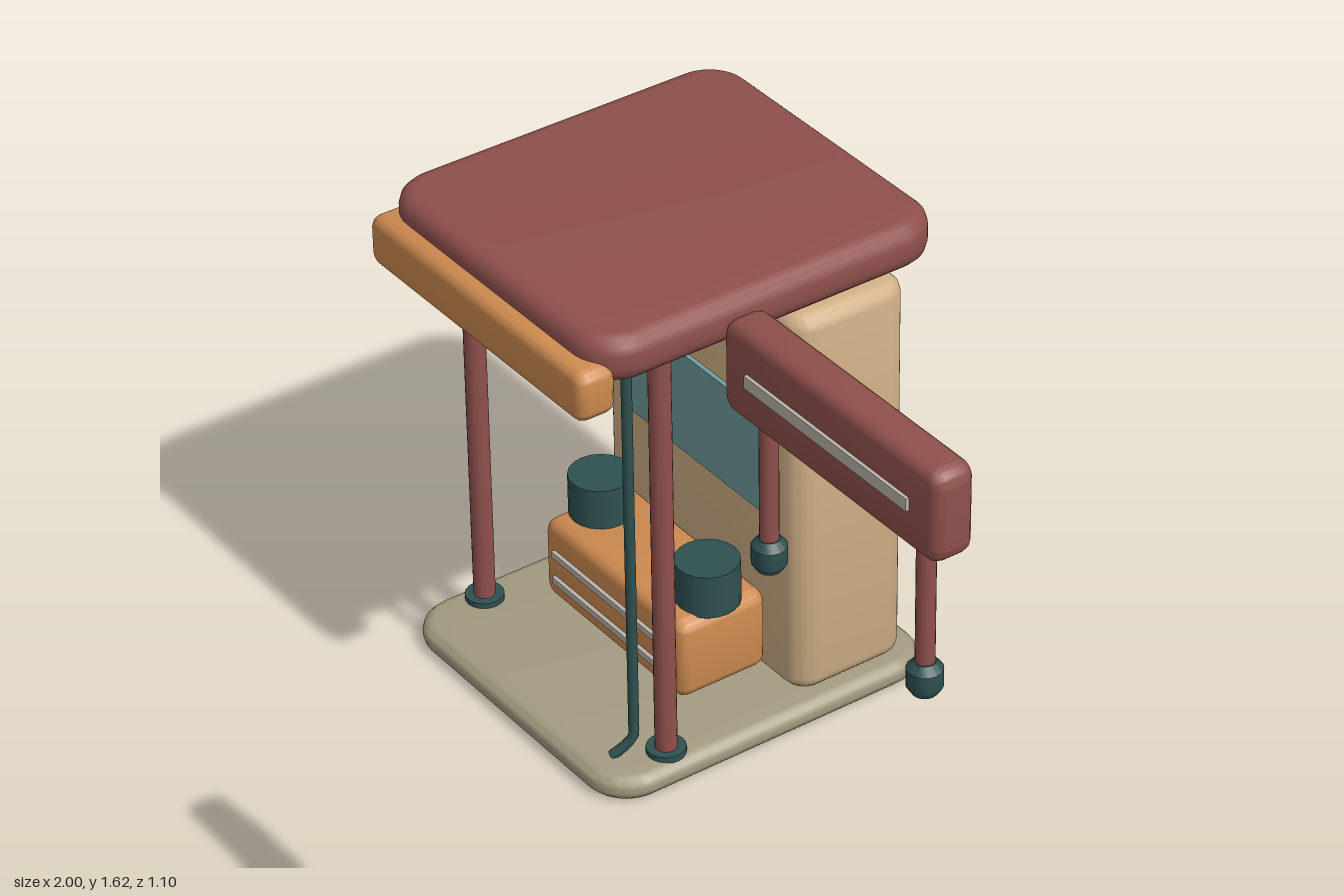
import * as THREE from 'three';
import { toCreasedNormals } from 'three/addons/utils/BufferGeometryUtils.js';

const mat = (name, color) => {
  const m = new THREE.MeshStandardMaterial({ color });
  m.name = name;
  return m;
};

// Rounded-corner plate in the xy plane with bevelled rims, centred, thickness along z
function slab(w, h, t, r, b) {
  const x = w / 2 - b, y = h / 2 - b, k = Math.max(r - b, 0.002);
  const s = new THREE.Shape();
  s.moveTo(-x + k, -y);
  s.lineTo(x - k, -y);
  s.absarc(x - k, -y + k, k, -Math.PI / 2, 0);
  s.lineTo(x, y - k);
  s.absarc(x - k, y - k, k, 0, Math.PI / 2);
  s.lineTo(-x + k, y);
  s.absarc(-x + k, y - k, k, Math.PI / 2, Math.PI);
  s.lineTo(-x, -y + k);
  s.absarc(-x + k, -y + k, k, Math.PI, Math.PI * 1.5);
  const g = new THREE.ExtrudeGeometry(s, {
    depth: t - 2 * b, bevelThickness: b, bevelSize: b, bevelSegments: 3, curveSegments: 5,
  });
  g.translate(0, 0, -(t - 2 * b) / 2);
  return toCreasedNormals(g, 0.7);
}

export function createModel() {
  const root = new THREE.Group();
  root.name = 'kioskWithSign';
  const red = mat('brickRed', 0x8f504c);
  const orange = mat('orange', 0xcd8a50);
  const tan = mat('tan', 0xd0b086);
  const stone = mat('stone', 0xa39b80);
  const dark = mat('darkTeal', 0x2f5050);
  const glass = mat('glassTeal', 0x729c9e);
  const silver = mat('silver', 0xbab3aa);

  const add = (parent, name, geo, m, x, y, z) => {
    const mesh = new THREE.Mesh(geo, m);
    mesh.name = name;
    mesh.position.set(x, y, z);
    parent.add(mesh);
    return mesh;
  };
  // Horizontal slab and upright cylinder given by their y range
  const flat = (parent, name, w, d, y0, y1, r, b, m, x, z) =>
    add(parent, name, slab(w, d, y1 - y0, r, b).rotateX(-Math.PI / 2), m, x, (y0 + y1) / 2, z);
  const rod = (parent, name, r, y0, y1, m, x, z) =>
    add(parent, name, new THREE.CylinderGeometry(r, r, y1 - y0, 20), m, x, (y0 + y1) / 2, z);

  // Kiosk shell
  const kiosk = new THREE.Group();
  kiosk.name = 'kiosk';
  root.add(kiosk);
  const cx = -0.6875;
  flat(kiosk, 'base', 0.625, 0.662, 0, 0.045, 0.08, 0.02, stone, cx, -0.206);
  flat(kiosk, 'roof', 0.625, 0.68, 0.828, 0.91, 0.08, 0.028, red, cx, -0.208);
  flat(kiosk, 'cabinet', 0.56, 0.229, 0.04, 0.785, 0.045, 0.026, tan, cx, -0.3865);
  add(kiosk, 'fascia', slab(0.602, 0.094, 0.072, 0.025, 0.018), orange, cx, 0.823, 0.128);
  add(kiosk, 'screen', new THREE.BoxGeometry(0.417, 0.195, 0.009), glass, cx, 0.4725, -0.268);

  // Front posts, their foot plates and the ceiling lamps
  for (const s of [-1, 1]) {
    const x = cx + s * 0.267;
    rod(kiosk, 'post', 0.019, 0.045, 0.832, red, x, -0.01);
    rod(kiosk, 'postFoot', 0.034, 0.043, 0.055, dark, x, -0.01);
    rod(kiosk, 'lampRim', 0.046, 0.82, 0.832, dark, cx + s * 0.165, -0.043);
    rod(kiosk, 'lampLens', 0.036, 0.817, 0.821, stone, cx + s * 0.165, -0.043);
  }

  // Drain pipe with a kicked-out end
  const pipe = new THREE.CurvePath();
  const p = [[-0.445, 0.835, 0.037], [-0.445, 0.085, 0.037], [-0.447, 0.068, 0.042], [-0.463, 0.045, 0.07]]
    .map((a) => new THREE.Vector3(...a));
  pipe.add(new THREE.LineCurve3(p[0], p[1]));
  pipe.add(new THREE.QuadraticBezierCurve3(p[1], p[2], p[3]));
  add(kiosk, 'drainPipe', new THREE.TubeGeometry(pipe, 60, 0.009, 10), dark, 0, 0, 0);

  // Console with grille bars and two canisters
  const desk = new THREE.Group();
  desk.name = 'console';
  root.add(desk);
  add(desk, 'consoleBody', slab(0.402, 0.157, 0.177, 0.028, 0.02), orange, cx, 0.1415, -0.1785);
  for (const y of [0.108, 0.161])
    add(desk, 'grilleBar', new THREE.BoxGeometry(0.335, 0.012, 0.009), silver, cx, y, -0.087);
  for (const s of [-1, 1])
    rod(desk, 'canister', 0.056, 0.215, 0.297, dark, cx + s * 0.154, -0.178);

  // Raised sign on two legs
  const sign = new THREE.Group();
  sign.name = 'sign';
  root.add(sign);
  const sx = 0.761, sz = 0.512;
  add(sign, 'signBoard', slab(0.476, 0.147, 0.066, 0.026, 0.018), red, sx, 1.5435, sz);
  add(sign, 'signStripe', new THREE.BoxGeometry(0.358, 0.02, 0.009), silver, sx, 1.545, sz + 0.034);
  const foot = [[0, 0], [0.018, 0], [0.026, 0.012], [0.026, 0.04], [0.016, 0.052], [0, 0.052]]
    .map(([x, y]) => new THREE.Vector2(x, y));
  const footGeo = toCreasedNormals(new THREE.LatheGeometry(foot, 16), 0.6);
  for (const s of [-1, 1]) {
    rod(sign, 'signLeg', 0.014, 1.26, 1.48, red, sx + s * 0.175, sz);
    add(sign, 'signFoot', footGeo, dark, sx + s * 0.175, 1.223, sz);
  }
  return root;
}
